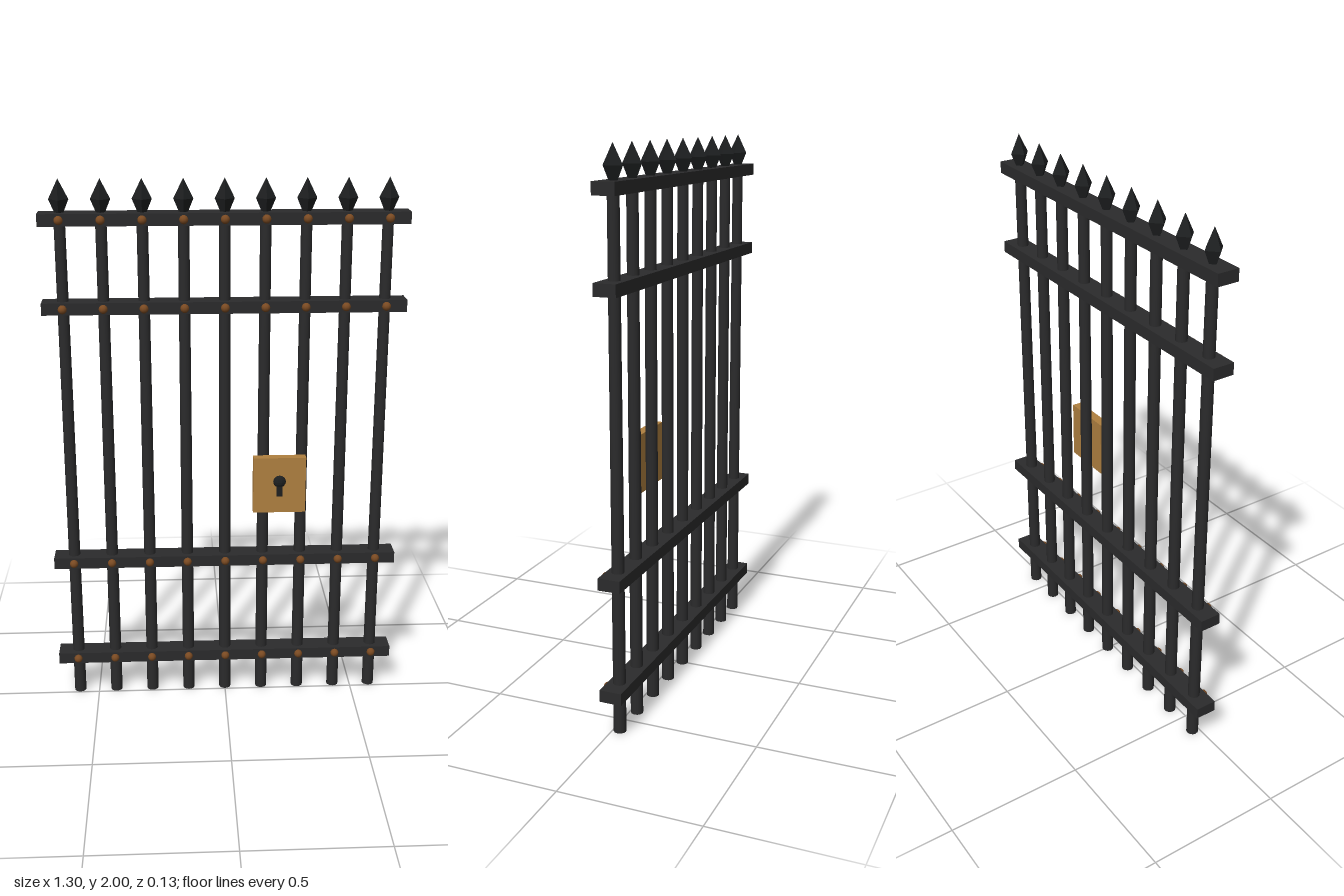
import * as THREE from 'three';

export function createModel() {
  const model = new THREE.Group();
  model.name = 'ironGate';

  const material = (name, color) => {
    const m = new THREE.MeshStandardMaterial({ color });
    m.name = name;
    return m;
  };
  const iron = material('darkIron', 0x2b2b2c);
  const black = material('blackIron', 0x1d1f20);
  black.flatShading = true;
  const rust = material('rustyBronze', 0x7a4a22);
  const brass = material('agedBrass', 0xb08040);

  const add = (name, geometry, mat, x, y, z) => {
    const mesh = new THREE.Mesh(geometry, mat);
    mesh.name = name;
    mesh.position.set(x, y, z);
    model.add(mesh);
    return mesh;
  };

  const gateZ = -0.025;
  const barCount = 9, barSpacing = 0.1438;
  const railHeights = [0.16, 0.567, 1.551, 1.863];

  // Horizontal rails
  const railGeo = new THREE.BoxGeometry(1.3, 0.043, 0.08);
  railHeights.forEach((y) => add('rail', railGeo, iron, 0, y, gateZ));

  // Upright bars, four-sided spear tips and a rivet at every crossing
  const barGeo = new THREE.CylinderGeometry(0.02, 0.0225, 1.88, 12);
  const spearGeo = new THREE.LatheGeometry([
    new THREE.Vector2(0.012, 1.875),
    new THREE.Vector2(0.035, 1.93),
    new THREE.Vector2(0, 2),
  ], 4);
  const rivetGeo = new THREE.SphereGeometry(0.016, 10, 8);
  for (let i = 0; i < barCount; i++) {
    const x = (i - (barCount - 1) / 2) * barSpacing;
    add('bar', barGeo, iron, x, 0.94, gateZ);
    add('spearTip', spearGeo, black, x, 0, gateZ);
    railHeights.forEach((y) => add('rivet', rivetGeo, rust, x, y, 0.018));
  }

  // Lock plate with a raised keyhole
  add('lockPlate', new THREE.BoxGeometry(0.195, 0.215, 0.035), brass, 0.2, 0.885, 0.031);
  const keyhole = add('keyholeTop', new THREE.SphereGeometry(0.024, 10, 8), black, 0.2, 0.9, 0.048);
  keyhole.scale.z = 0.6;
  add('keyholeSlot', new THREE.BoxGeometry(0.022, 0.047, 0.012), black, 0.2, 0.867, 0.05);

  return model;
}
